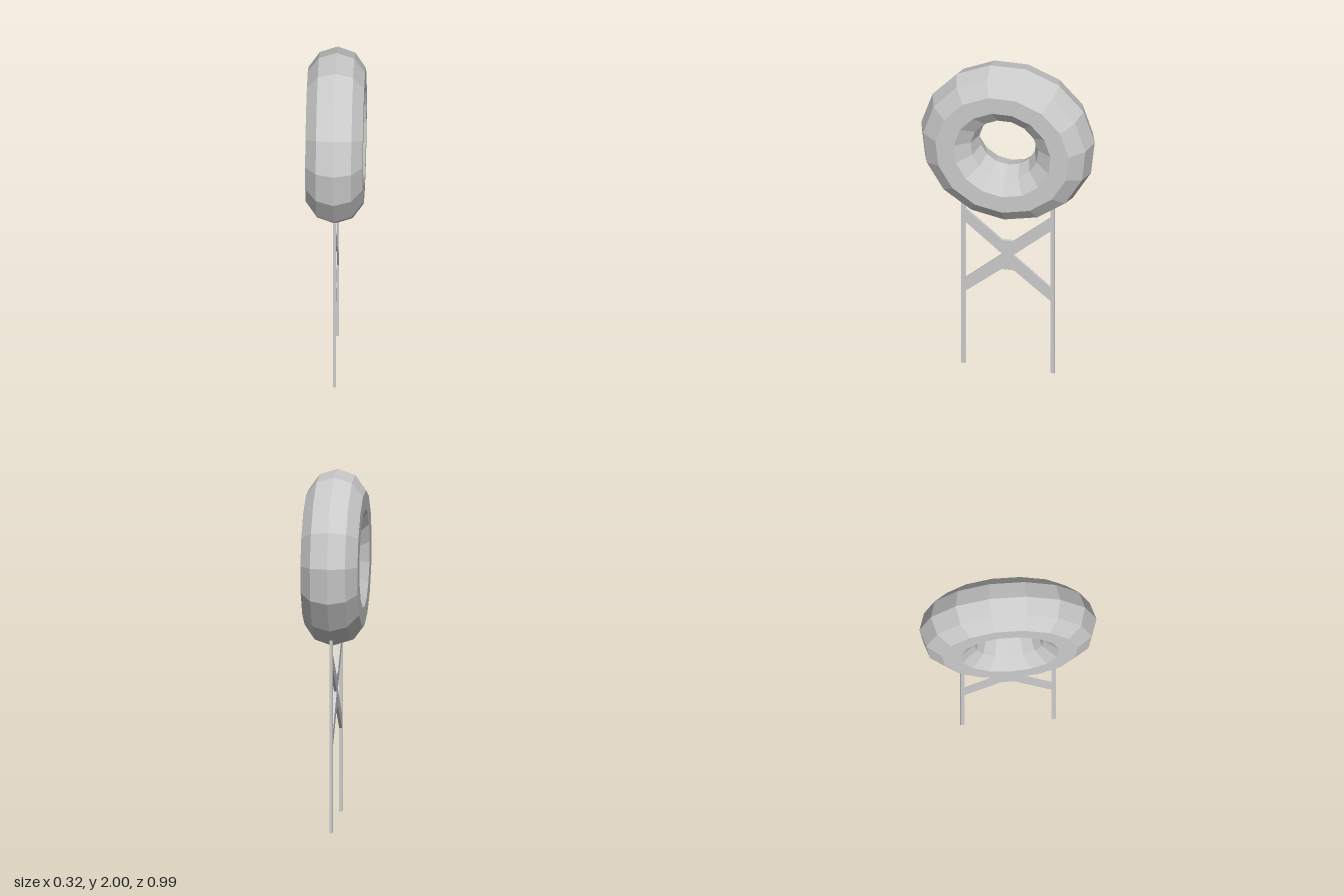
import * as THREE from 'three';

export function createModel() {
  const group = new THREE.Group();
  const material = new THREE.MeshStandardMaterial({ color: 0xcccccc, flatShading: true });
  const add = (name, geometry) => {
    const mesh = new THREE.Mesh(geometry, material);
    mesh.name = name;
    group.add(mesh);
    return mesh;
  };

  // Upright low-poly ring, axis along x, one corner pointing straight down
  const ring = new THREE.TorusGeometry(0.329, 0.168, 10, 15);
  ring.rotateZ(-Math.PI / 2).rotateY(Math.PI / 2);
  add('ring', ring).position.y = 1.514;

  // Two thin posts reaching into the underside of the ring
  for (const side of [1, -1]) {
    const post = add(side > 0 ? 'frontPost' : 'backPost', new THREE.BoxGeometry(0.016, 1.105, 0.024));
    post.position.set(0, 1.105 / 2, side * 0.255);
  }

  // Flat X-shaped brace: one half outline, mirrored for the other half
  const half = [
    [0.035, 0.655], [0.245, 0.478], [0.245, 0.565], [0.03, 0.755],
    [0.245, 0.945], [0.245, 1.032], [0.035, 0.848],
  ];
  const mirrored = half.map(([z, y]) => [-z, y]).reverse();
  const outline = new THREE.Shape([...half, ...mirrored].map(([z, y]) => new THREE.Vector2(z, y)));
  const thickness = 0.015;
  const brace = new THREE.ExtrudeGeometry(outline, { depth: thickness, bevelEnabled: false });
  brace.translate(0, 0, -thickness / 2).rotateY(Math.PI / 2);
  add('crossBrace', brace);

  return group;
}
